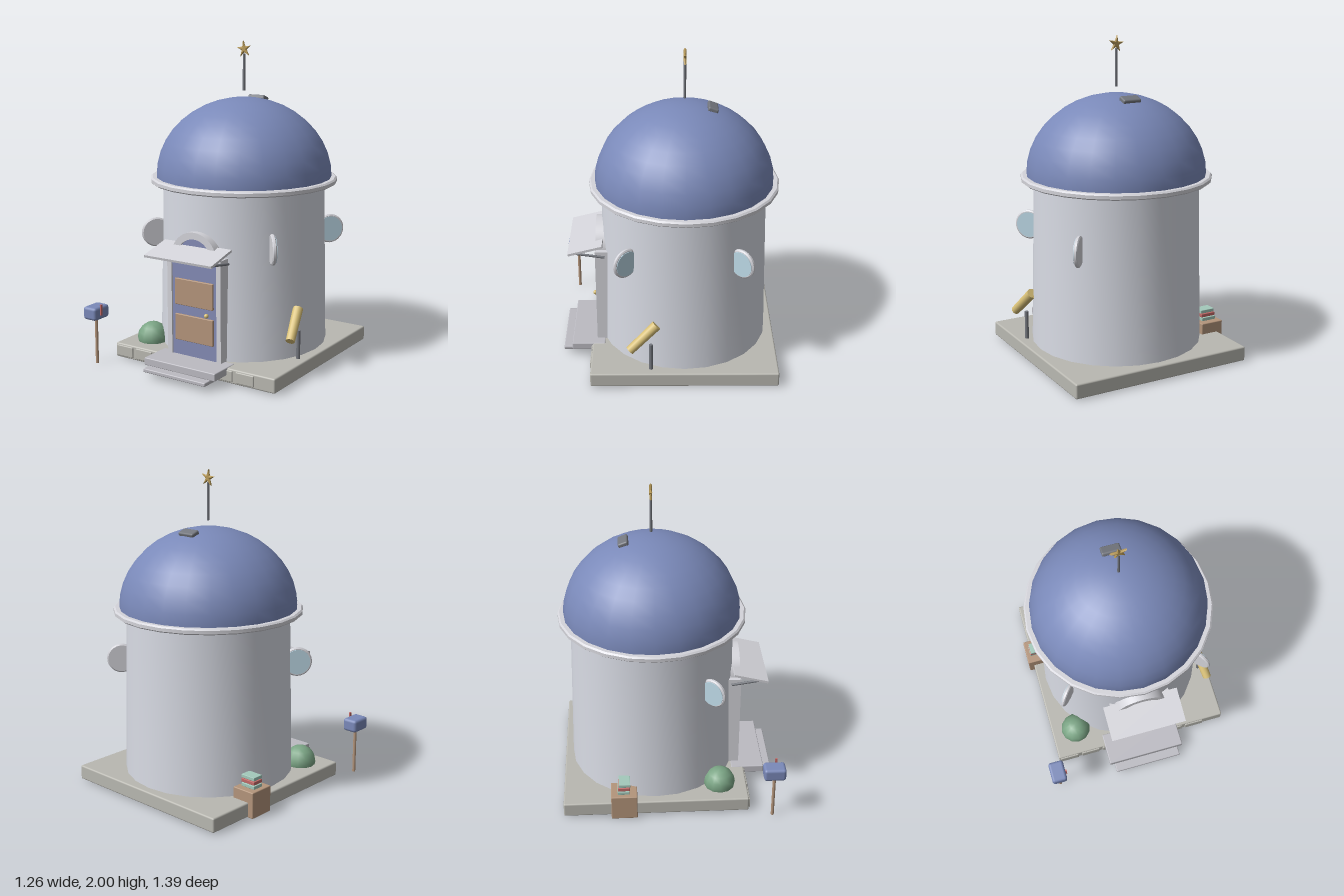
import * as THREE from 'three';
import { RoundedBoxGeometry } from 'three/addons/geometries/RoundedBoxGeometry.js';
import { toCreasedNormals } from 'three/addons/utils/BufferGeometryUtils.js';

const V = (x, y, z) => new THREE.Vector3(x, y, z);
const CX = 0.04, CZ = -0.105; // tower axis

const mats = {};
for (const [name, color] of Object.entries({
  wall: 0xd8dbe4, trim: 0xd4d4da, stone: 0xb9b8b1, step: 0xbcbbc2, blue: 0x7a89b9, door: 0x848bb5,
  brown: 0xb4957b, gold: 0xd8c078, brass: 0xb89a58, green: 0x7ba585, glass: 0xbcd8e6,
  metal: 0x74777e, red: 0xc46a68, teal: 0xa3c9bb,
})) mats[name] = new THREE.MeshStandardMaterial({ color });

export function createModel() {
  const model = new THREE.Group();

  const add = (name, geo, mat, pos = V(0, 0, 0), parent = model) => {
    const mesh = new THREE.Mesh(geo, mats[mat]);
    mesh.name = name;
    mesh.position.copy(pos);
    parent.add(mesh);
    return mesh;
  };
  // box given by its extents
  const box = (name, mat, x0, x1, y0, y1, z0, z1, bevel = 0) => {
    const s = [x1 - x0, y1 - y0, z1 - z0];
    const geo = bevel ? new RoundedBoxGeometry(...s, 2, bevel) : new THREE.BoxGeometry(...s);
    return add(name, geo, mat, V((x0 + x1) / 2, (y0 + y1) / 2, (z0 + z1) / 2));
  };
  // cylinder between two points
  const rod = (name, mat, a, b, ra, rb = ra, sides = 12) => {
    const mesh = add(name, new THREE.CylinderGeometry(rb, ra, a.distanceTo(b), sides), mat,
      a.clone().add(b).multiplyScalar(0.5));
    mesh.quaternion.setFromUnitVectors(V(0, 1, 0), b.clone().sub(a).normalize());
    return mesh;
  };
  const lathe = (name, mat, pts) => add(name,
    toCreasedNormals(new THREE.LatheGeometry(pts.map(p => new THREE.Vector2(...p)), 24), 0.6),
    mat, V(CX, 0, CZ));

  // Base slab with a row of facing stones
  box('baseSlab', 'stone', -0.55, 0.63, 0.008, 0.1, -0.69, 0.48, 0.01);
  for (let i = 0; i < 7; i++) {
    const x = -0.475 + i * 0.15;
    box('facingStone', 'stone', x - 0.064, x + 0.064, 0.02, 0.09, 0.46, 0.488, 0.006);
  }

  // Front steps
  box('upperStep', 'step', -0.22, 0.3, 0.056, 0.104, 0.4, 0.612, 0.006);
  box('lowerStep', 'step', -0.187, 0.267, 0.034, 0.058, 0.42, 0.668, 0.006);

  // Tower wall, eave ring and dome
  lathe('towerWall', 'wall', [[0, 0.09], [0.535, 0.09], [0.51, 1.13]]);
  lathe('eaveRing', 'trim', [[0.49, 1.12], [0.58, 1.12], [0.59, 1.128], [0.59, 1.148], [0.58, 1.157], [0.5, 1.157]]);
  const dome = add('dome', new THREE.SphereGeometry(0.555, 24, 10, 0, Math.PI * 2, 0, Math.PI / 2), 'blue', V(CX, 1.15, CZ));
  dome.scale.y = 0.5 / 0.555;

  // Roof hatch lying on the back slope
  const hatch = box('roofHatch', 'metal', -0.02, 0.1, 1.615, 1.645, -0.307, -0.243, 0.01);
  hatch.rotation.x = -0.36;

  // Finial rod and star
  rod('finialRod', 'metal', V(CX, 1.69, CZ), V(CX, 1.92, CZ), 0.008);
  const star = new THREE.Shape();
  for (let i = 0; i < 10; i++) {
    const r = i % 2 ? 0.019 : 0.053, a = Math.PI / 2 + i * Math.PI / 5 + 0.12;
    star[i ? 'lineTo' : 'moveTo'](r * Math.cos(a), r * Math.sin(a));
  }
  star.closePath();
  add('finialStar', new THREE.ExtrudeGeometry(star, {
    depth: 0.004, bevelThickness: 0.006, bevelSize: 0.006, bevelOffset: -0.006, bevelSegments: 1,
  }), 'brass', V(CX, 1.947, CZ - 0.002));

  // Round windows standing out from the wall; each has glass on one side
  for (const [x, z, gx, gz] of [[0.47, 0.25, 0.76, -0.65], [0.48, -0.445, 0.76, 0.65], [-0.39, 0.25, -0.76, -0.65]]) {
    const win = new THREE.Group();
    win.name = 'roundWindow';
    win.position.set(x, 0.8, z);
    win.quaternion.setFromUnitVectors(V(0, 1, 0), V(gx, 0, gz).normalize());
    const frame = [[0, -0.012], [0.085, -0.012], [0.093, -0.006], [0.093, 0.006], [0.085, 0.012], [0, 0.012]];
    add('windowFrame', toCreasedNormals(new THREE.LatheGeometry(
      frame.map(p => new THREE.Vector2(...p)), 28), 0.6), 'trim', V(0, 0, 0), win);
    add('windowGlass', new THREE.CylinderGeometry(0.08, 0.08, 0.008, 28), 'glass', V(0, 0.012, 0), win);
    model.add(win);
  }

  // Door with panels, posts and arch
  box('door', 'door', -0.126, 0.206, 0.1, 0.72, 0.36, 0.44);
  for (const y of [0.2, 0.425]) box('doorPanel', 'brown', -0.1, 0.178, y, y + 0.165, 0.43, 0.453, 0.004);
  add('doorKnob', new THREE.SphereGeometry(0.014, 14, 10), 'gold', V(0.14, 0.39, 0.464));
  box('doorLintel', 'door', -0.126, 0.206, 0.675, 0.725, 0.38, 0.446);
  const half = (r, hole) => {
    const s = new THREE.Shape();
    s.absarc(0, 0, r, 0, Math.PI, false);
    if (hole) s.absarc(0, 0, hole, Math.PI, 0, true);
    s.closePath();
    return toCreasedNormals(new THREE.ExtrudeGeometry(s, { depth: 0.09, bevelEnabled: false, curveSegments: 20 }), 0.6);
  };
  add('archFill', half(0.13), 'door', V(CX, 0.72, 0.345));
  add('archTrim', half(0.167, 0.125), 'trim', V(CX, 0.72, 0.358));

  // Door posts and canopy brackets, mirrored about the door's centre
  for (const s of [-1, 1]) {
    const x = CX + s * 0.18;
    box('doorPost', 'trim', x - 0.016, x + 0.016, 0.1, 0.74, 0.35, 0.452);
    rod('canopyBracket', 'metal', V(CX + s * 0.21, 0.712, 0.39), V(CX + s * 0.21, 0.744, 0.6), 0.008, 0.008, 8);
  }
  const canopy = box('canopy', 'trim', -0.205, 0.282, 0.765, 0.78, 0.4, 0.62);
  canopy.rotation.x = 0.25;

  // Bush
  add('bush', new THREE.SphereGeometry(0.1, 12, 8), 'green', V(-0.385, 0.12, 0.305));

  // Spyglass and its stand
  rod('spyglass', 'gold', V(0.587, 0.25, 0.232), V(0.545, 0.405, 0.068), 0.028, 0.032, 16);
  rod('spyglassStand', 'metal', V(0.57, 0.1, 0.103), V(0.57, 0.28, 0.103), 0.012);

  // Mailbox
  rod('mailboxPost', 'brown', V(-0.585, 0, 0.625), V(-0.585, 0.31, 0.625), 0.01);
  box('mailbox', 'blue', -0.635, -0.535, 0.295, 0.377, 0.555, 0.692, 0.018);
  box('mailboxFlag', 'red', -0.536, -0.526, 0.325, 0.393, 0.632, 0.646);

  // Crate with a stack of books
  box('crate', 'brown', -0.585, -0.43, 0.004, 0.17, -0.39, -0.226, 0.006);
  ['teal', 'red', 'teal'].forEach((mat, i) => {
    const y = 0.17 + i * 0.025, d = (i - 1) * 0.003;
    box('book', mat, -0.555 + d, -0.455 + d, y, y + 0.022, -0.345 + d, -0.272 + d, 0.003);
  });

  return model;
}
